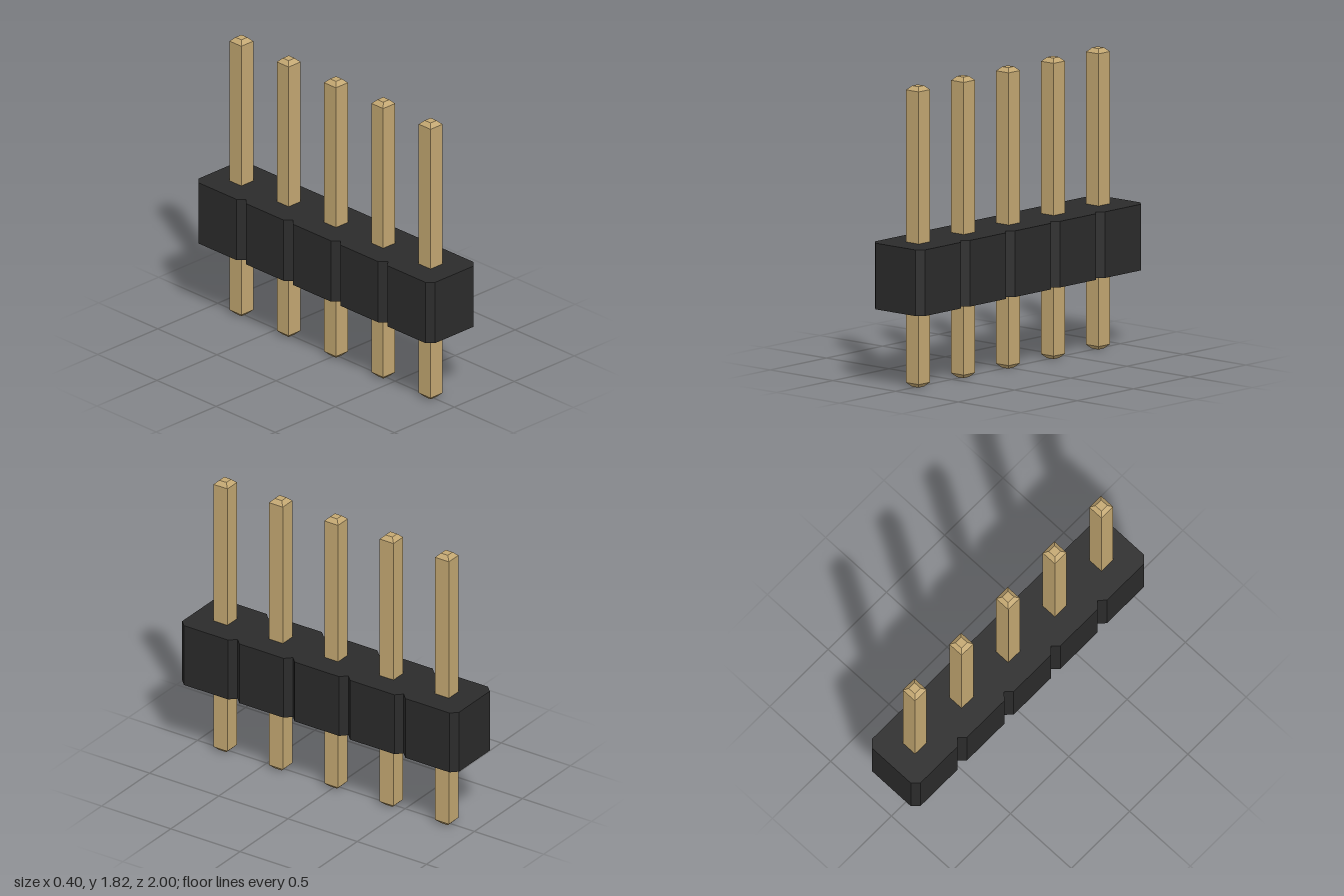
import * as THREE from 'three';

const COUNT = 5, PITCH = 0.4, HALF = PITCH / 2, CHAMFER = 0.04;
const BODY_BOTTOM = 0.475, BODY_HEIGHT = 0.4;
const PIN_HEIGHT = 1.82, PIN_HALF = 0.05, TIP_HALF = 0.025, TIP_HEIGHT = 0.025;

// Notched strip outline: one chamfered cell per pin, extruded upwards
function housingGeometry() {
  const right = [];
  for (let i = 0; i < COUNT; i++) {
    const start = (i - COUNT / 2) * PITCH;
    right.push([HALF - CHAMFER, start], [HALF, start + CHAMFER], [HALF, start + PITCH - CHAMFER]);
  }
  right.push([HALF - CHAMFER, COUNT * HALF]);
  const left = right.map(([x, y]) => [-x, y]).reverse();
  const outline = new THREE.Shape([...right, ...left].map(([x, y]) => new THREE.Vector2(x, y)));
  const geometry = new THREE.ExtrudeGeometry(outline, { depth: BODY_HEIGHT, bevelEnabled: false });
  return geometry.rotateX(-Math.PI / 2).translate(0, BODY_BOTTOM, 0);
}

// Square pin with a truncated pyramid at each end
function pinGeometry() {
  const profile = [
    [0, 0], [TIP_HALF, 0], [PIN_HALF, TIP_HEIGHT],
    [PIN_HALF, PIN_HEIGHT - TIP_HEIGHT], [TIP_HALF, PIN_HEIGHT], [0, PIN_HEIGHT],
  ].map(([half, y]) => new THREE.Vector2(half * Math.SQRT2, y));
  return new THREE.LatheGeometry(profile, 4, Math.PI / 4);
}

export function createModel() {
  const model = new THREE.Group();
  model.name = 'pinHeader';

  const plastic = new THREE.MeshStandardMaterial({ color: 0x2b2b2b, flatShading: true });
  const metal = new THREE.MeshStandardMaterial({ color: 0xc4a872, flatShading: true });

  const housing = new THREE.Mesh(housingGeometry(), plastic);
  housing.name = 'housing';
  model.add(housing);

  // Row of pins along the housing
  const geometry = pinGeometry();
  for (let i = 0; i < COUNT; i++) {
    const pin = new THREE.Mesh(geometry, metal);
    pin.name = `pin${i + 1}`;
    pin.position.z = (i - (COUNT - 1) / 2) * PITCH;
    model.add(pin);
  }
  return model;
}
